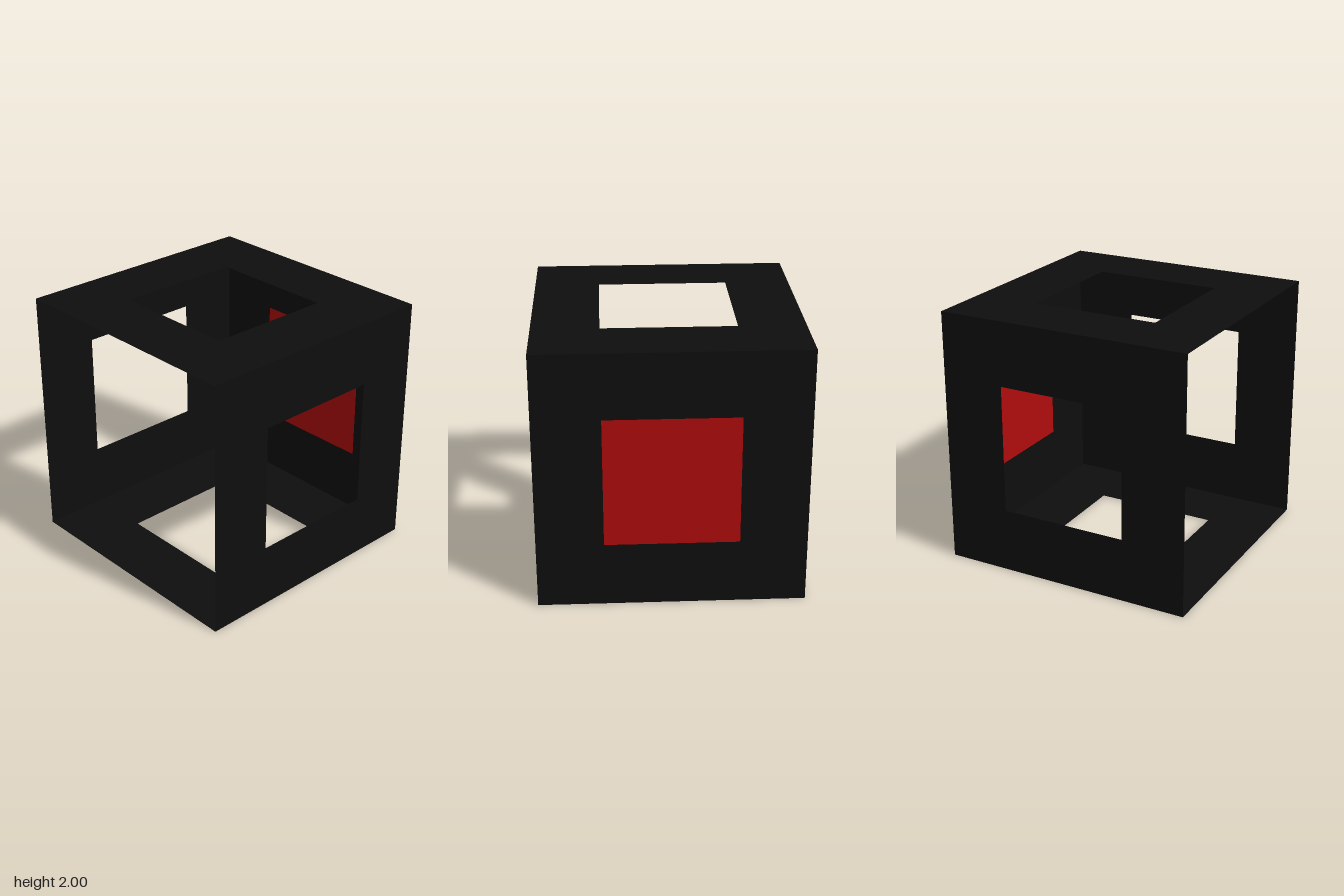
import * as THREE from 'three';

export function createModel() {
  const model = new THREE.Group();
  model.name = 'openFrameBox';
  const black = new THREE.MeshStandardMaterial({ color: 0x0e0e0e, side: THREE.DoubleSide });
  const red = new THREE.MeshStandardMaterial({ color: 0xb00c0c, side: THREE.DoubleSide });

  // Square outline, counter-clockwise, with the given half width
  const square = (h) => [[-h, -h], [h, -h], [h, h], [-h, h]].map(([x, y]) => new THREE.Vector2(x, y));

  // Paper-thin square wall with a square window, facing outwards at distance 1
  const frame = new THREE.Shape(square(1));
  frame.holes.push(new THREE.Path(square(0.5).reverse()));
  const wallGeometry = new THREE.ShapeGeometry(frame).translate(0, 0, 1);

  const add = (name, geometry, material, rx, ry) => {
    const mesh = new THREE.Mesh(geometry, material);
    mesh.name = name;
    mesh.rotation.set(rx, ry, 0);
    mesh.position.y = 1;
    model.add(mesh);
  };

  // Five walls; the front stays open
  const q = Math.PI / 2;
  const walls = [
    ['backWall', 0, Math.PI],
    ['leftWall', 0, q],
    ['rightWall', 0, -q],
    ['topWall', -q, 0],
    ['bottomWall', q, 0],
  ];
  for (const [name, rx, ry] of walls) add(name, wallGeometry, black, rx, ry);

  // Red panel filling the back window
  add('backPanel', new THREE.PlaneGeometry(1, 1).translate(0, 0, 1), red, 0, Math.PI);

  return model;
}
